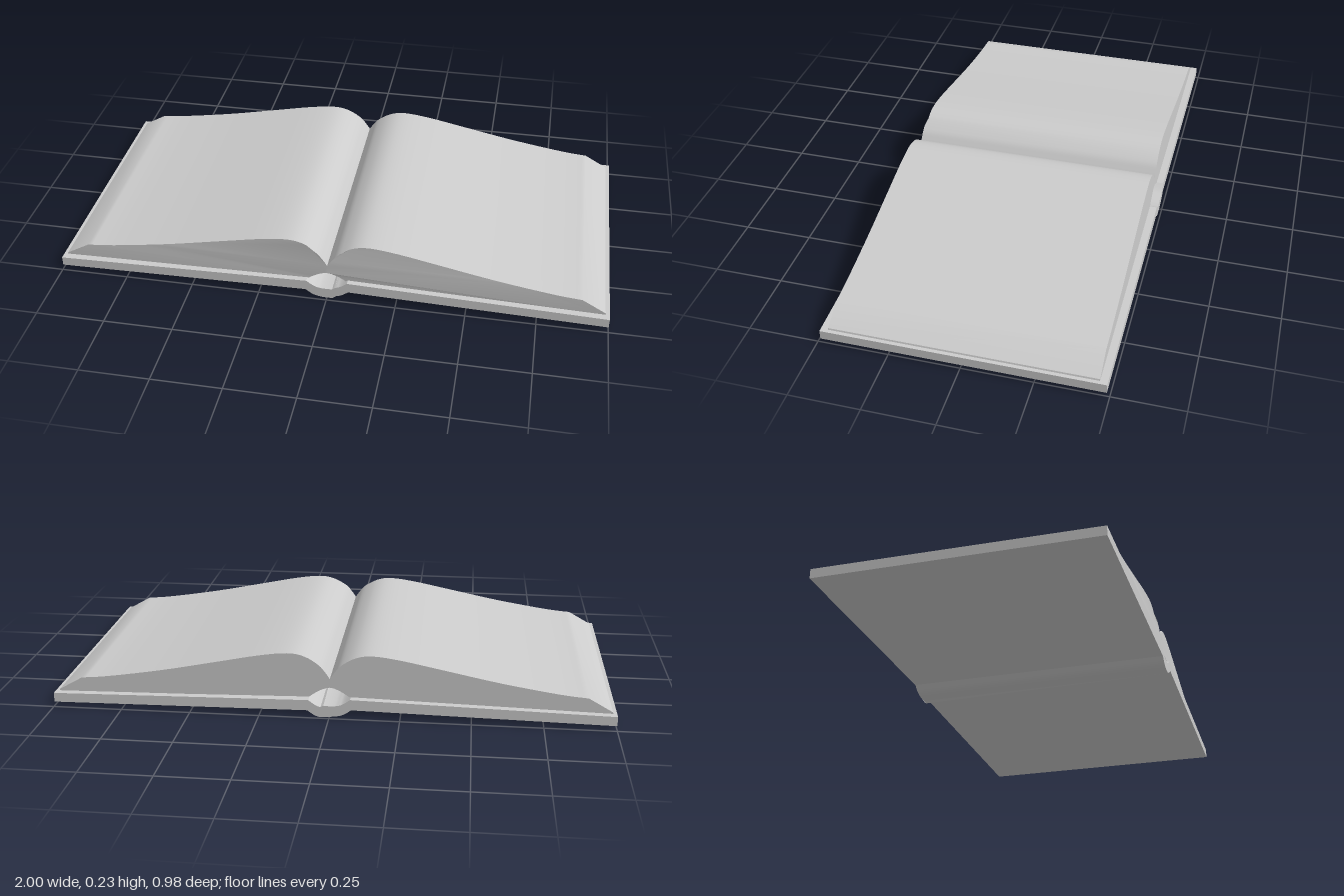
import * as THREE from 'three';
import { toCreasedNormals } from 'three/addons/utils/BufferGeometryUtils.js';

const material = new THREE.MeshStandardMaterial({ color: 0xcccccc });

// Closed x-y profile swept along z, centred, with a rule to adjust vertices
function sweep(name, points, halfDepth, rule) {
  const shape = new THREE.Shape(points.map(([x, y]) => new THREE.Vector2(x, y)));
  const geometry = new THREE.ExtrudeGeometry(shape, { depth: 2 * halfDepth, bevelEnabled: false });
  geometry.translate(0, 0, -halfDepth);
  const pos = geometry.attributes.position;
  const v = new THREE.Vector3();
  for (let i = 0; i < pos.count; i++) {
    rule(v.fromBufferAttribute(pos, i));
    pos.setXYZ(i, v.x, v.y, v.z);
  }
  const mesh = new THREE.Mesh(toCreasedNormals(geometry, 0.45), material);
  mesh.name = name;
  return mesh;
}

const spline = (points, n) => new THREE.SplineCurve(points.map(([x, y]) => new THREE.Vector2(x, y)))
  .getPoints(n).map((p) => [p.x, p.y]);
const mirrored = (points) => points.map(([x, y]) => [-x, y]).reverse();

export function createModel() {
  const book = new THREE.Group();
  book.name = 'openBook';

  // Hard cover: two thin boards joined by a rounded spine that sags to the ground
  const under = spline([[-0.078, 0.028], [-0.045, 0.007], [0, 0], [0.045, 0.007], [0.078, 0.028]], 16);
  const inner = spline([[0.074, 0.067], [0.04, 0.045], [0, 0.04], [-0.04, 0.045], [-0.074, 0.067]], 16);
  const cover = [[-1, 0.012], ...under, [1, 0.012], [1, 0.046], ...inner, [-1, 0.046]];
  book.add(sweep('cover', cover, 0.49, (v) => {
    // the +x board is slightly twisted: higher at the front of its hinge
    if (v.x > 0.03) v.y += 0.007 * (v.z / 0.49) * Math.min(1, (1 - v.x) / 0.92);
  }));

  // Page block: two arched halves meeting in a gutter bridge above the spine
  const arch = spline([
    [0.9, 0.1], [0.8, 0.11], [0.6, 0.142], [0.4, 0.182], [0.25, 0.212],
    [0.15, 0.224], [0.09, 0.214], [0.04, 0.184], [0.015, 0.155], [0, 0.133],
  ], 36);
  const hollow = spline([[-0.074, 0.063], [-0.04, 0.086], [0, 0.1], [0.04, 0.086], [0.074, 0.063]], 12);
  const pages = [
    [-0.988, 0.043], ...hollow, [0.988, 0.043], [0.985, 0.052],
    ...arch, ...mirrored(arch).slice(1), [-0.985, 0.052],
  ];
  book.add(sweep('pages', pages, 0.464, (v) => {
    // the front end leans out a little beside the gutter
    const near = Math.max(0, 1 - Math.abs(v.x) / 0.15);
    if (v.z > 0 && v.y < 0.2) v.z += 0.01 * near;
  }));

  return book;
}
